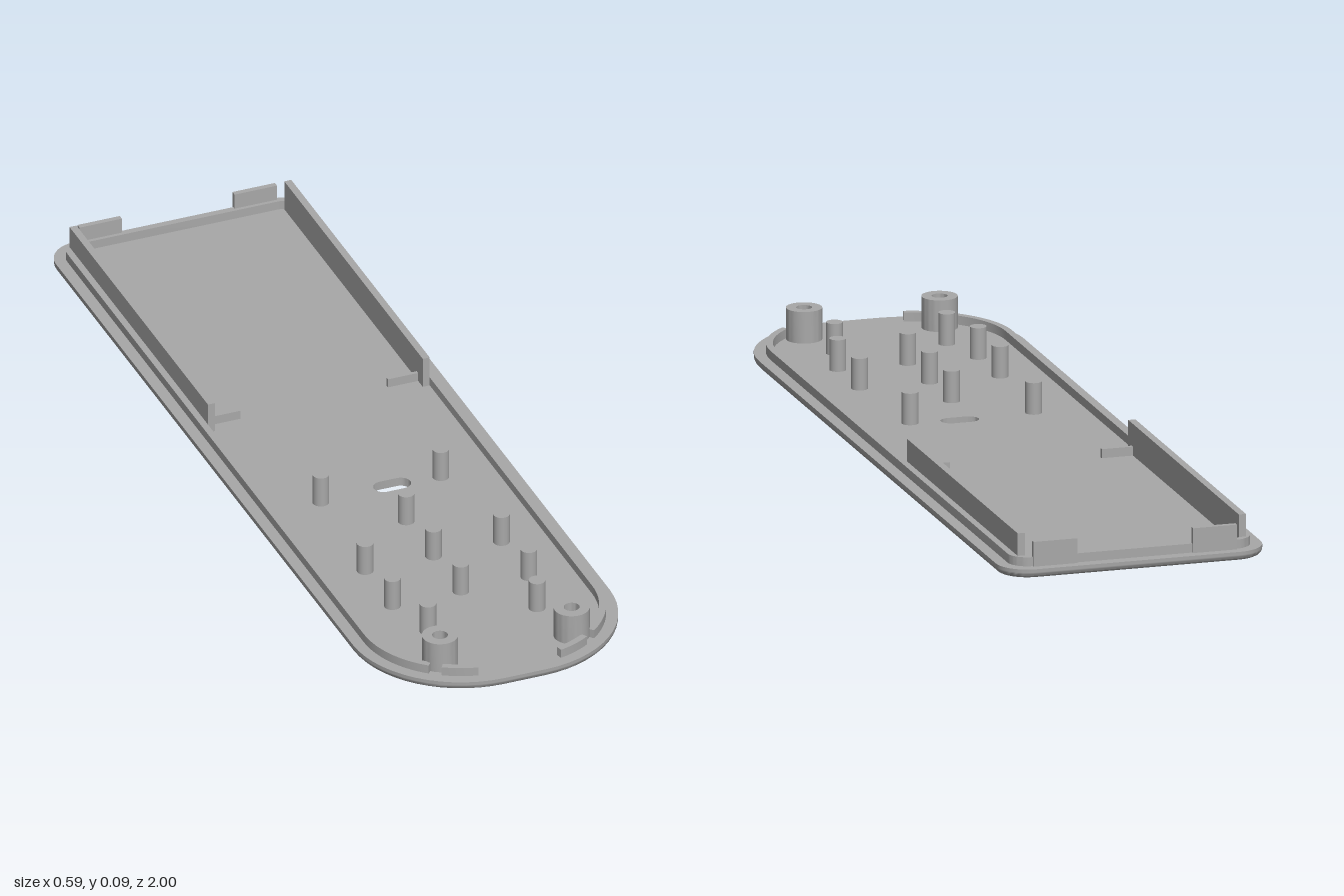
import * as THREE from 'three';
import { toCreasedNormals } from 'three/addons/utils/BufferGeometryUtils.js';

const FLOOR = 0.02, RIM_TOP = 0.04, TOP = 0.09;
const rad = THREE.MathUtils.degToRad;

// Points on an arc in the ground plane (x, z)
function arc(cx, cz, r, from, to, n = 14) {
  const pts = [];
  for (let i = 0; i <= n; i++) {
    const a = rad(from + (to - from) * i / n);
    pts.push(new THREE.Vector2(cx + r * Math.cos(a), cz + r * Math.sin(a)));
  }
  return pts;
}

// Case outline moved inwards; frontSweep limits how far the front corners turn
function outline(inset, frontSweep = 90) {
  return [
    ...arc(0.047, 0.75, 0.25 - inset, frontSweep, 0),
    ...arc(0.227, -0.93, 0.07 - inset, 0, -90),
    ...arc(-0.227, -0.93, 0.07 - inset, -90, -180),
    ...arc(-0.047, 0.75, 0.25 - inset, 180, 180 - frontSweep),
  ];
}

// Upright extrusion of a plan shape between two heights
function slab(points, y0, y1, holes = []) {
  const shape = new THREE.Shape(points);
  shape.holes = holes.map((h) => new THREE.Path(h));
  const geo = new THREE.ExtrudeGeometry(shape, { depth: y1 - y0, bevelEnabled: false });
  geo.rotateX(Math.PI / 2).translate(0, y1, 0);
  return toCreasedNormals(geo, rad(35));
}

// Rounded lower edge of the base, lofted through inset outlines
function edgeGeometry() {
  const rows = [];
  for (let k = 0; k <= 5; k++) {
    const a = rad(18 * k);
    rows.push([0.012 * (1 - Math.sin(a)), 0.013 * (1 - Math.cos(a))]);
  }
  rows.push([0, FLOOR], [0.012, FLOOR]);
  const pos = [], idx = [];
  const n = outline(0).length;
  for (const [inset, y] of rows) for (const p of outline(inset)) pos.push(p.x, y, p.y);
  for (let j = 0; j < rows.length - 1; j++) {
    for (let i = 0; i < n; i++) {
      const a = j * n + i, b = j * n + (i + 1) % n;
      idx.push(a, b, b + n, a, b + n, a + n);
    }
  }
  const geo = new THREE.BufferGeometry();
  geo.setAttribute('position', new THREE.Float32BufferAttribute(pos, 3));
  geo.setIndex(idx);
  return toCreasedNormals(geo, rad(35));
}

export function createModel() {
  const group = new THREE.Group();
  const grey = new THREE.MeshStandardMaterial({ color: 0xa8a8a8 });
  grey.name = 'plasticGrey';

  function add(name, geo) {
    const mesh = new THREE.Mesh(geo, grey);
    mesh.name = name;
    group.add(mesh);
  }
  function box(name, x0, x1, y0, y1, z0, z1) {
    const geo = new THREE.BoxGeometry(x1 - x0, y1 - y0, z1 - z0);
    add(name, geo.translate((x0 + x1) / 2, (y0 + y1) / 2, (z0 + z1) / 2));
  }

  // Base plate with cable slot and two screw holes
  const slot = [...arc(0.048, 0.177, 0.022, -90, 90), ...arc(0.008, 0.177, 0.022, 90, 270)];
  const screwHoles = [-0.152, 0.152].map((x) => arc(x, 0.89, 0.027, 0, 345, 23));
  add('basePlate', slab(outline(0.012), 0, FLOOR, [slot, ...screwHoles]));
  add('baseEdge', edgeGeometry());

  // Locating rim, open at the front
  add('rim', slab([...outline(0.026, 50), ...outline(0.041, 50).reverse()], FLOOR, RIM_TOP));

  for (const s of [-1, 1]) {
    const side = s > 0 ? 'left' : 'right';
    const span = (a, b) => (s > 0 ? [a, b] : [-b, -a]);

    // Short curved rim piece at the front
    const turn = (a) => (s > 0 ? a : 180 - a);
    add(side + 'FrontRim', slab([
      ...arc(s * 0.047, 0.75, 0.224, turn(57.3), turn(77.6), 6),
      ...arc(s * 0.047, 0.75, 0.209, turn(77.6), turn(57.3), 6),
    ], FLOOR, RIM_TOP));

    // Compartment wall, stop bar and rear clip
    box(side + 'Wall', ...span(0.24, 0.256), FLOOR, TOP, -0.955, -0.17);
    box(side + 'StopBar', ...span(0.17, 0.242), FLOOR, RIM_TOP, -0.204, -0.196);
    box(side + 'RearClip', ...span(0.13, 0.228), FLOOR, 0.075, -0.979, -0.967);

    // Hollow screw boss
    add(side + 'ScrewBoss', slab(arc(s * 0.152, 0.89, 0.039, 0, 350, 35), FLOOR, TOP,
      [arc(s * 0.152, 0.89, 0.017, 0, 345, 23)]));
  }

  // Support pegs
  const pegs = [[-0.14, 0.185], [0.137, 0.185], [0, 0.325], [-0.127, 0.76], [0.125, 0.76]];
  for (const z of [0.48, 0.635]) for (const x of [-0.158, 0, 0.157]) pegs.push([x, z]);
  for (const [x, z] of pegs) {
    const geo = new THREE.CylinderGeometry(0.018, 0.018, TOP - FLOOR, 28);
    add('supportPeg', geo.translate(x, (TOP + FLOOR) / 2, z));
  }
  return group;
}
